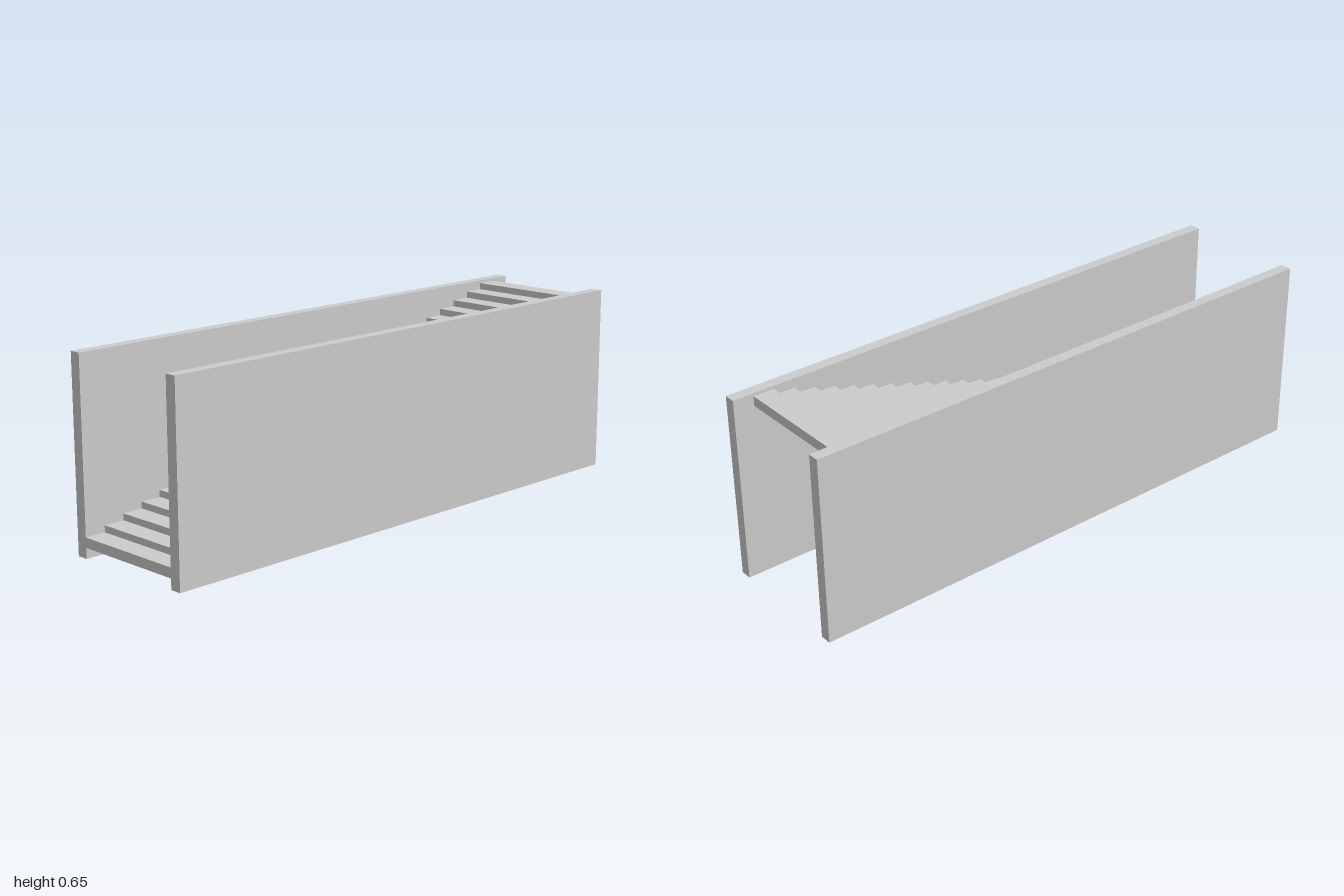
import * as THREE from 'three';

export function createModel() {
  const group = new THREE.Group();
  const material = new THREE.MeshStandardMaterial({ color: 0xcccccc, flatShading: true });

  const addBox = (name, size, position) => {
    const mesh = new THREE.Mesh(new THREE.BoxGeometry(...size), material);
    mesh.name = name;
    mesh.position.set(...position);
    group.add(mesh);
  };

  // Tall side walls, standing on the ground
  const wallHeight = 0.655, wallThickness = 0.04, innerHalf = 0.206;
  for (const side of [1, -1]) {
    addBox(side > 0 ? 'leftWall' : 'rightWall',
      [wallThickness, wallHeight, 2],
      [side * (innerHalf + wallThickness / 2), wallHeight / 2, 0]);
  }

  // Slab treads climbing from front to back, each overlapping the next in height
  const steps = 26, going = 0.0741, rise = 0.023, thickness = 0.034, firstBottom = 0.036;
  for (let i = 0; i < steps; i++) {
    addBox(`step${i + 1}`,
      [innerHalf * 2, thickness, going],
      [0, firstBottom + thickness / 2 + i * rise, 1 - going * (i + 0.5)]);
  }

  return group;
}
